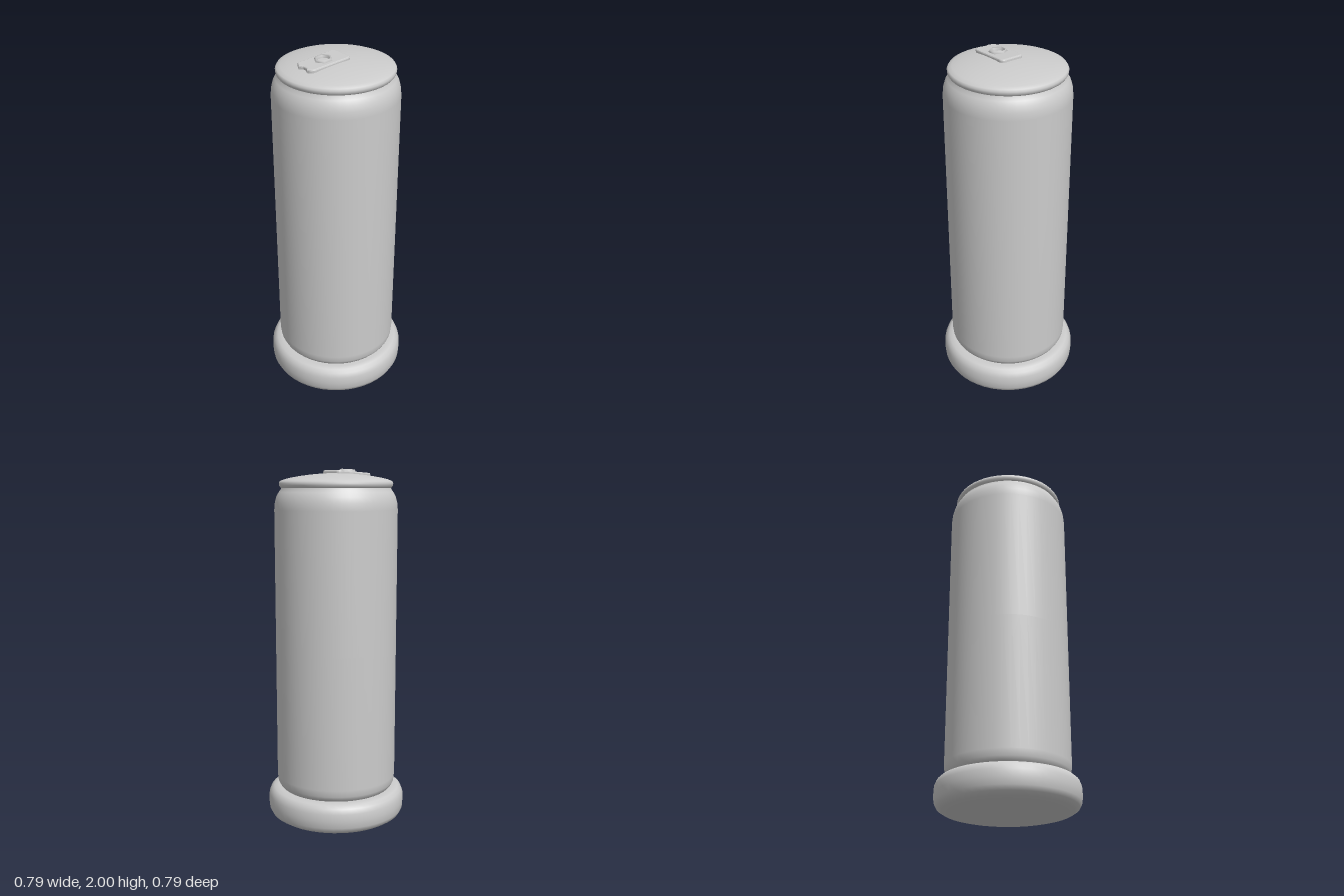
import * as THREE from 'three';

const material = new THREE.MeshStandardMaterial({ color: 0xcccccc });

function addMesh(parent, name, geometry) {
  const mesh = new THREE.Mesh(geometry, material);
  mesh.name = name;
  parent.add(mesh);
  return mesh;
}

// Smoothly turned part from a few [radius, height] points, bottom to top
function turned(points, segments = 48) {
  return new THREE.LatheGeometry(points.map(([r, y]) => new THREE.Vector2(r, y)), segments);
}

export function createModel() {
  const model = new THREE.Group();
  model.name = 'can';

  // Thick rounded foot and its flat underside
  addMesh(model, 'base', turned([
    [0.325, 0], [0.355, 0.008], [0.38, 0.024], [0.393, 0.05], [0.396, 0.09],
    [0.394, 0.13], [0.383, 0.158], [0.365, 0.174], [0.34, 0.18], [0.3, 0.18],
  ]));
  const underside = addMesh(model, 'underside', new THREE.CircleGeometry(0.325, 48));
  underside.rotation.x = Math.PI / 2;

  // Tall body tucked in at the foot and rounded at the shoulder
  addMesh(model, 'body', turned([
    [0.315, 0.175], [0.33, 0.192], [0.34, 0.212], [0.344, 0.25], [0.344, 1.0], [0.344, 1.78],
    [0.34, 1.82], [0.331, 1.852], [0.318, 1.875], [0.307, 1.89], [0.303, 1.905],
  ]));

  // Rolled rim running into a shallow domed lid
  addMesh(model, 'lid', turned([
    [0.3, 1.895], [0.309, 1.9], [0.316, 1.911], [0.317, 1.923], [0.311, 1.934], [0.29, 1.943],
    [0.25, 1.953], [0.2, 1.962], [0.14, 1.97], [0.07, 1.976], [0, 1.978],
  ]));

  // Pull tab: notched plate with a hole, tilted down towards the front
  const tab = new THREE.Group();
  tab.name = 'pullTab';
  tab.position.y = 1.984;
  tab.rotation.x = 0.06;
  model.add(tab);

  const outline = new THREE.Shape();
  outline.moveTo(-0.05, -0.036);
  outline.lineTo(0.052, -0.036);
  outline.quadraticCurveTo(0.066, -0.034, 0.064, -0.01);
  outline.lineTo(0.058, 0.185);
  outline.quadraticCurveTo(0.056, 0.205, 0.034, 0.212);
  outline.lineTo(0.012, 0.2);
  outline.lineTo(-0.012, 0.2);
  outline.lineTo(-0.034, 0.212);
  outline.lineTo(-0.062, 0.195);
  outline.lineTo(-0.063, -0.01);
  outline.quadraticCurveTo(-0.065, -0.034, -0.05, -0.036);
  const hole = new THREE.Path();
  hole.absarc(0, 0.085, 0.044, 0, Math.PI * 2, true);
  outline.holes.push(hole);
  const plate = addMesh(tab, 'tabPlate', new THREE.ExtrudeGeometry(outline, {
    depth: 0.03, bevelThickness: 0.007, bevelSize: 0.007, bevelSegments: 2, curveSegments: 6,
  }));
  plate.rotation.x = Math.PI / 2;

  // Raised six-sided collar around a sunken rivet
  const collar = addMesh(tab, 'rivetCollar', turned([
    [0.05, -0.012], [0.05, 0.009], [0.043, 0.02], [0.036, 0.015], [0.034, -0.004],
  ], 6));
  const rivet = addMesh(tab, 'rivet', new THREE.CylinderGeometry(0.035, 0.037, 0.024, 6));
  collar.position.z = rivet.position.z = 0.085;
  rivet.position.y = -0.009;

  return model;
}
